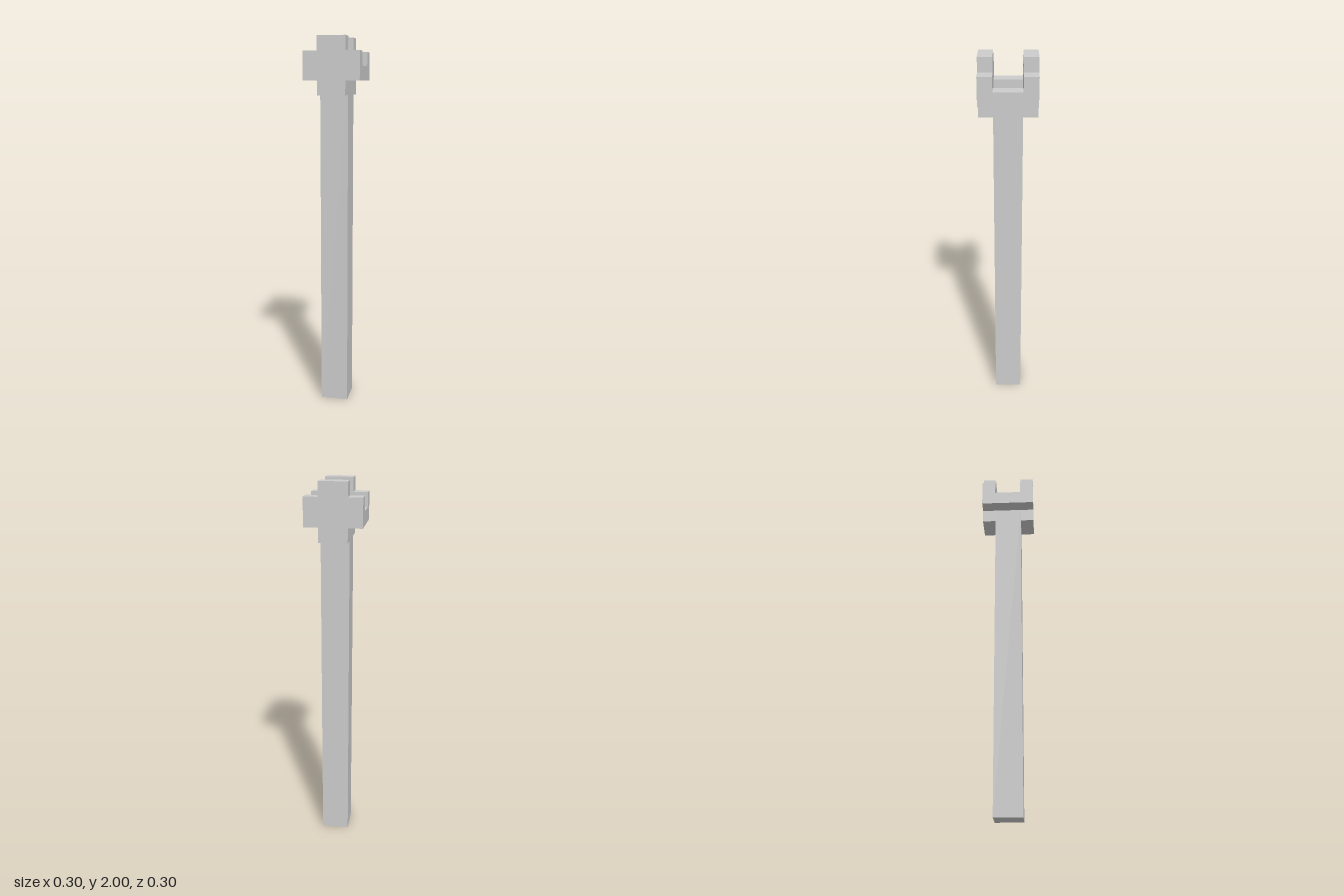
import * as THREE from 'three';

const U = 2 / 27; // one block unit; the model is 27 units tall

export function createModel() {
  const group = new THREE.Group();
  const material = new THREE.MeshStandardMaterial({ color: 0xcccccc, flatShading: true });

  const add = (name, geometry, x, y, z) => {
    const mesh = new THREE.Mesh(geometry, material);
    mesh.name = name;
    mesh.position.set(x * U, y * U, z * U);
    group.add(mesh);
  };

  // Square shaft, its top forming the floor of the head's recess
  add('shaft', new THREE.BoxGeometry(2 * U, 24 * U, 2 * U), 0, 12, 0);

  // Cross-shaped plates at the front and back of the head
  const outline = [
    [-1, 23], [1, 23], [1, 24], [2, 24], [2, 26], [1, 26],
    [1, 27], [-1, 27], [-1, 26], [-2, 26], [-2, 24], [-1, 24],
  ].map(([x, y]) => new THREE.Vector2(x * U, y * U));
  const plate = new THREE.ExtrudeGeometry(new THREE.Shape(outline), { depth: U, bevelEnabled: false });
  add('frontPlate', plate, 0, 0, 1);
  add('backPlate', plate, 0, 0, -2);

  // Low side rails joining the plates
  const rail = new THREE.BoxGeometry(U, U, 2 * U);
  add('leftRail', rail, 1.5, 24.5, 0);
  add('rightRail', rail, -1.5, 24.5, 0);

  return group;
}
